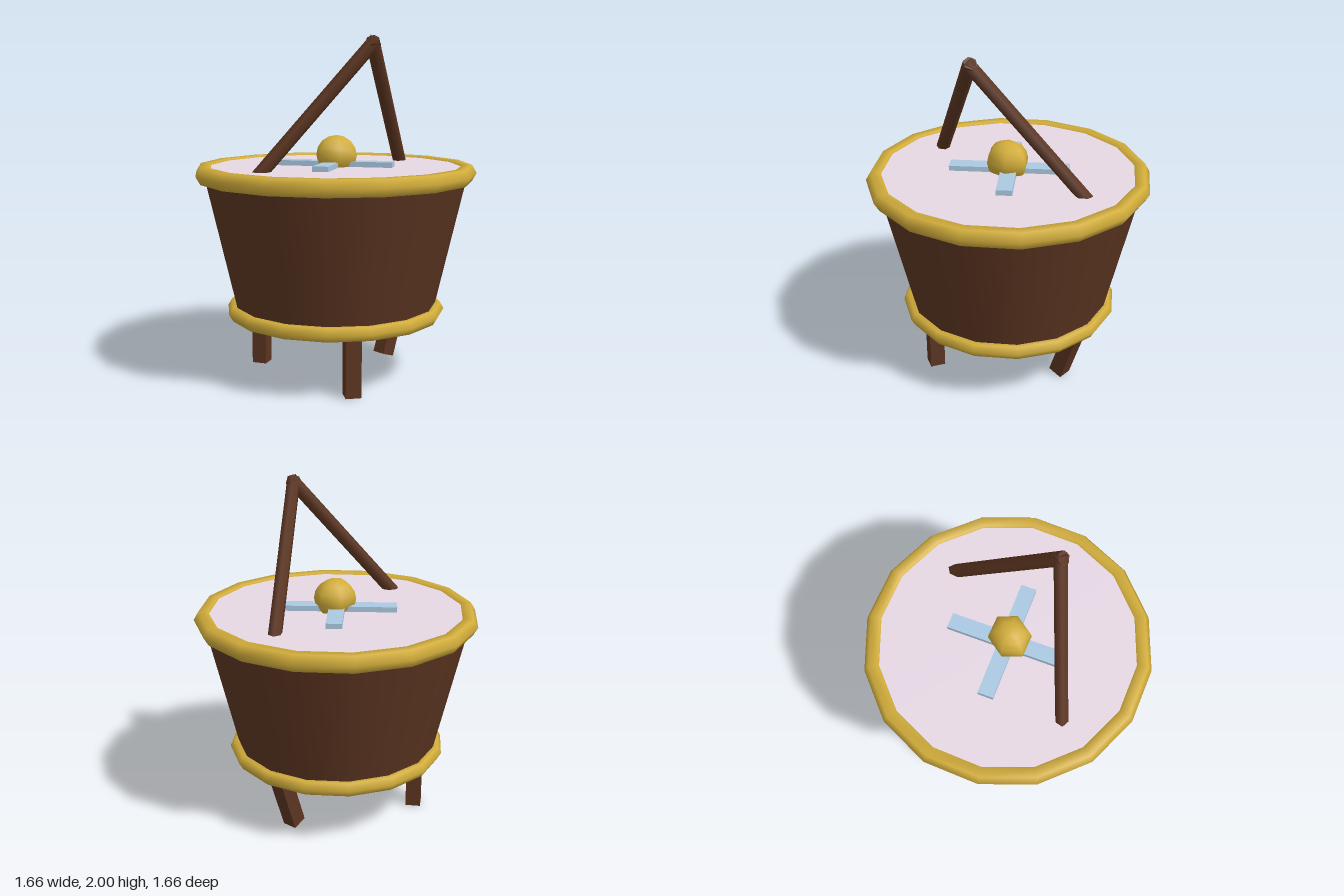
import * as THREE from 'three';

export function createModel() {
  const model = new THREE.Group();
  model.name = 'woodenTub';

  const material = (name, color) => {
    const m = new THREE.MeshStandardMaterial({ color });
    m.name = name;
    return m;
  };
  const wood = material('dark wood', 0x5c3521);
  const brass = material('brass', 0xd2ad3b);
  const steel = material('pale blue steel', 0xabc9e2);
  const cream = material('pale mauve', 0xe6d8e4);

  const add = (name, geometry, mat, x = 0, y = 0, z = 0) => {
    const mesh = new THREE.Mesh(geometry, mat);
    mesh.name = name;
    mesh.position.set(x, y, z);
    model.add(mesh);
    return mesh;
  };

  // Tapered tub body, closed at the bottom
  add('tubBody', new THREE.CylinderGeometry(0.778, 0.585, 0.835, 16), wood, 0, 0.7825, 0).rotation.y = Math.PI / 8;

  // Contents surface just below the rim
  add('tubSurface', new THREE.CylinderGeometry(0.76, 0.76, 0.04, 32), cream, 0, 1.228, 0);

  // Coarse hoops around the rim and the foot
  const hoop = (name, radius, tube, y) => {
    add(name, new THREE.TorusGeometry(radius, tube, 6, 16), brass, 0, y, 0).rotation.x = Math.PI / 2;
  };
  hoop('topHoop', 0.776, 0.055, 1.212);
  hoop('bottomHoop', 0.606, 0.045, 0.396);

  // Crossed paddle blades and the knob over them
  for (let i = 0; i < 2; i++) {
    const blade = add('paddleBlade', new THREE.BoxGeometry(0.7, 0.04, 0.092), steel, 0, 1.258 + i * 0.001, -0.004);
    blade.rotation.y = 0.62 + i * Math.PI / 2;
  }
  add('knob', new THREE.SphereGeometry(0.135, 6, 8), brass, 0, 1.312, 0.012).scale.set(1, 0.88, 0.89);

  // Two rods leaning forward to cross at a peak
  const rod = (name, from, to, radius) => {
    const dir = to.clone().sub(from);
    const mid = from.clone().add(to).multiplyScalar(0.5);
    const mesh = add(name, new THREE.CylinderGeometry(radius, radius, dir.length(), 6), wood, mid.x, mid.y, mid.z);
    mesh.quaternion.setFromUnitVectors(new THREE.Vector3(0, 1, 0), dir.normalize());
  };
  for (const side of [1, -1]) {
    rod(
      side > 0 ? 'leftHandleRod' : 'rightHandleRod',
      new THREE.Vector3(side * 0.567, 1.21, -0.02),
      new THREE.Vector3(side * -0.014, 1.974, 0.328),
      0.04
    );
  }

  // Three square legs: two upright, one slanting inwards
  const legShape = new THREE.BoxGeometry(0.09, 0.46, 0.09);
  for (const side of [1, -1]) {
    const leg = add('uprightLeg', legShape, wood, -0.241, 0.233, side * 0.42);
    leg.rotation.y = -side * Math.PI * 2 / 3;
  }
  add('slantedLeg', legShape, wood, 0.481, 0.235, 0).rotation.z = -0.325;

  return model;
}
